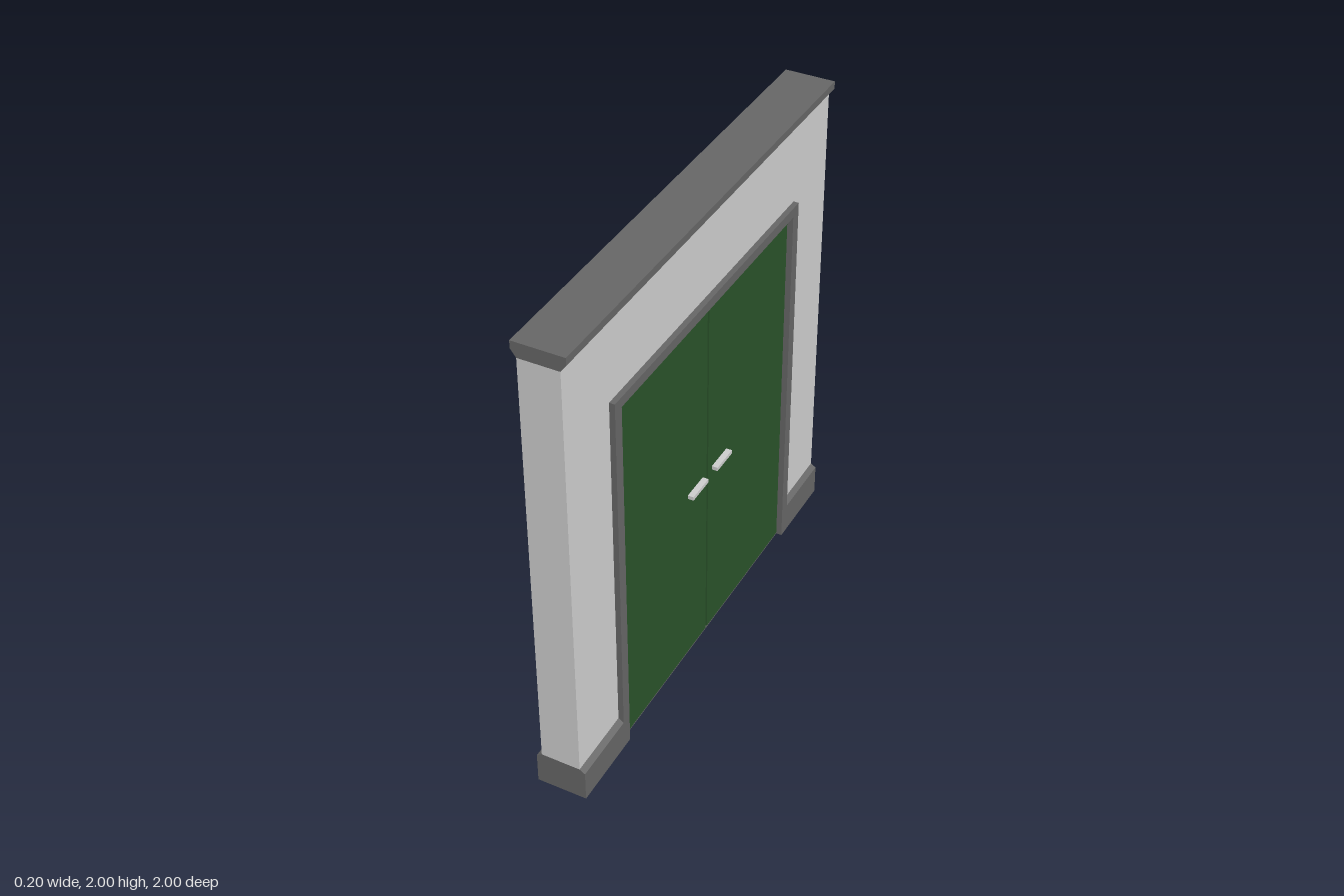
import * as THREE from 'three';

const mat = (color) => new THREE.MeshStandardMaterial({ color, flatShading: true });

export function createModel() {
  const model = new THREE.Group();
  const plaster = mat(0xcccccc), trim = mat(0x656565), green = mat(0x295229);

  const add = (name, geometry, material) => {
    const mesh = new THREE.Mesh(geometry, material);
    mesh.name = name;
    model.add(mesh);
    return mesh;
  };
  const shape = (pts) => new THREE.Shape(pts.map(([a, b]) => new THREE.Vector2(a, b)));

  // box given by its limits on each axis
  const box = (name, [x0, x1], [y0, y1], [z0, z1], material) => {
    const g = new THREE.BoxGeometry(x1 - x0, y1 - y0, z1 - z0);
    g.translate((x0 + x1) / 2, (y0 + y1) / 2, (z0 + z1) / 2);
    return add(name, g, material);
  };

  // moulding: x-y profile, mirrored in x, run along z
  const moulding = (name, half, z0, z1) => {
    const mirrored = half.map(([x, y]) => [-x, y]).reverse();
    const g = new THREE.ExtrudeGeometry(shape([...half, ...mirrored]), { depth: z1 - z0, bevelEnabled: false });
    g.translate(0, 0, z0);
    add(name, g, trim);
  };

  // upside-down U around the doorway, as thick as given
  const arch = (name, outer, inner, bottom, top, innerTop, thick, material) => {
    const g = new THREE.ExtrudeGeometry(shape([
      [-outer, bottom], [-inner, bottom], [-inner, innerTop], [inner, innerTop],
      [inner, bottom], [outer, bottom], [outer, top], [-outer, top],
    ]), { depth: thick, bevelEnabled: false });
    g.translate(0, 0, -thick / 2);
    g.rotateY(Math.PI / 2);
    add(name, g, material);
  };

  arch('wall', 1, 0.7, 0.145, 1.94, 1.61, 0.16, plaster);
  arch('doorFrame', 0.71, 0.665, 0, 1.625, 1.585, 0.204, trim);

  // cornice and skirting with sloped edges
  moulding('cornice', [[0.08, 1.94], [0.102, 1.97], [0.102, 2]], -1, 1);
  const skirting = [[0.102, 0], [0.102, 0.13], [0.08, 0.145]];
  moulding('skirtingLeft', skirting, 0.71, 1);
  moulding('skirtingRight', skirting, -1, -0.71);

  // sill and the strip seen between the leaves
  box('sill', [-0.078, 0.078], [0, 0.005], [-0.665, 0.665], trim);
  box('centreStrip', [-0.07, 0.07], [0.005, 1.585], [-0.018, -0.006], trim);

  // two door leaves with a bar handle on both faces
  const leaves = [
    { z: [-0.006, 0.665], handle: [0.025, 0.147] },
    { z: [-0.665, -0.018], handle: [-0.172, -0.05] },
  ];
  for (const { z, handle } of leaves) {
    box('doorLeaf', [-0.078, 0.078], [0.005, 1.585], z, green);
    box('doorHandle', [0.078, 0.102], [0.795, 0.811], handle, plaster);
    box('doorHandle', [-0.102, -0.078], [0.795, 0.811], handle, plaster);
  }

  return model;
}
